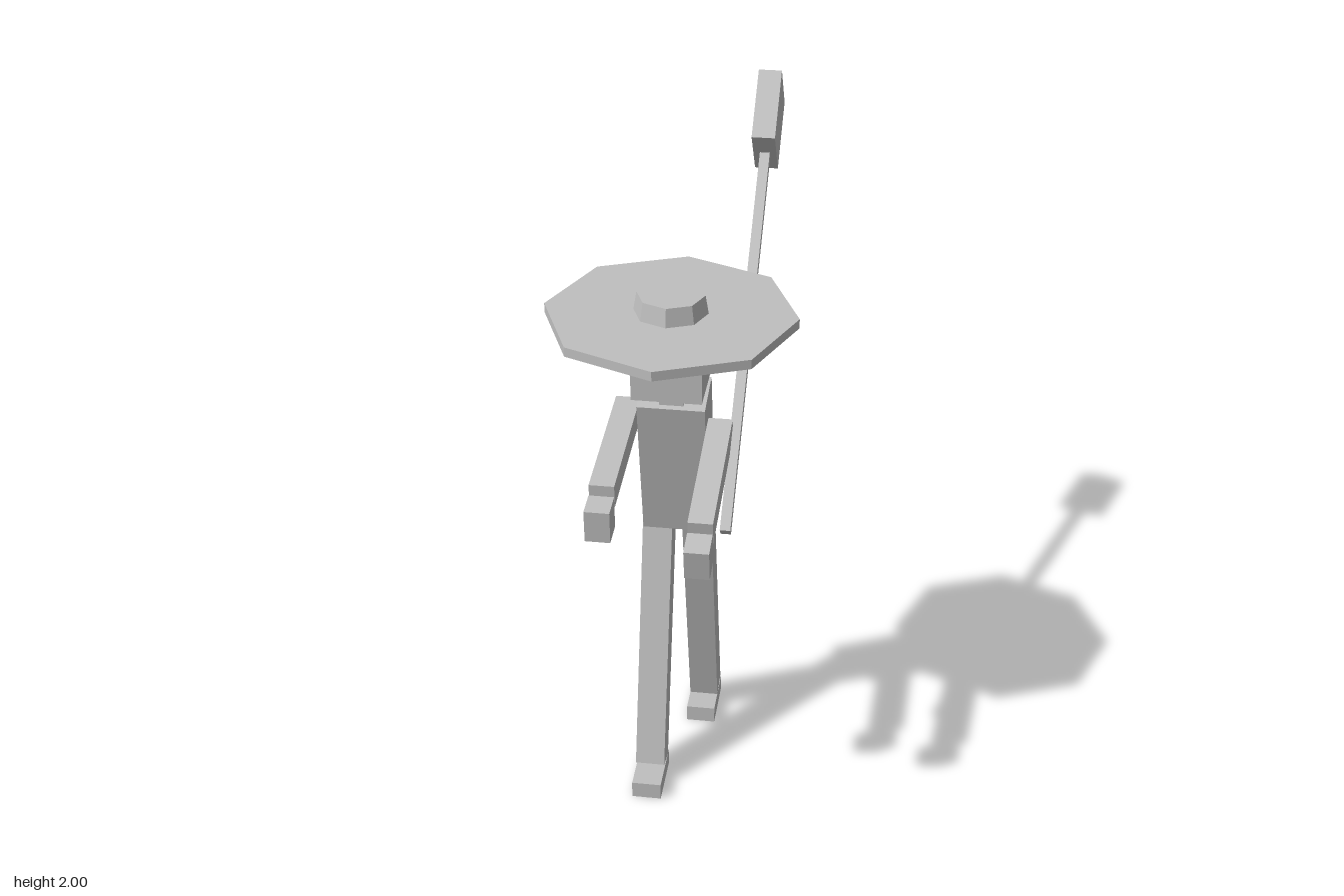
import * as THREE from 'three';

export function createModel() {
  const model = new THREE.Group();
  model.name = 'strawHatWorker';
  const grey = new THREE.MeshStandardMaterial({ color: 0xbfbfbf });
  grey.name = 'plain grey';

  function add(name, geometry, x, y, z, tilt = 0) {
    const mesh = new THREE.Mesh(geometry, grey);
    mesh.name = name;
    mesh.position.set(x, y, z);
    mesh.rotation.x = tilt;
    model.add(mesh);
    return mesh;
  }
  const box = (name, [w, h, d], [x, y, z], tilt) =>
    add(name, new THREE.BoxGeometry(w, h, d), x, y, z, tilt);

  // Eight-sided disc with corners on the x and z axes
  const octagon = (name, rTop, rBottom, y0, y1) => {
    const g = new THREE.CylinderGeometry(rTop, rBottom, y1 - y0, 8).toNonIndexed();
    g.computeVertexNormals();
    return add(name, g, 0, (y0 + y1) / 2, 0.26);
  };

  // Leaning torso, neck and head
  box('torso', [0.196, 0.477, 0.152], [0, 1.087, 0.153], 0.213);
  box('neck', [0.07, 0.09, 0.07], [0, 1.335, 0.226]);
  box('head', [0.2, 0.194, 0.2], [0, 1.47, 0.26]);

  // Hair at the back of the head
  box('hair', [0.206, 0.137, 0.015], [0, 1.498, 0.153]);
  box('hairBump', [0.12, 0.066, 0.012], [0, 1.533, 0.142]);

  // Hat
  octagon('hatBrim', 0.356, 0.356, 1.578, 1.606);
  octagon('hatCrown', 0.096, 0.105, 1.606, 1.66);

  // Arms reaching forward
  box('rightArm', [0.07, 0.067, 0.446], [-0.134, 1.245, 0.421], 0.065);
  box('rightHand', [0.07, 0.097, 0.077], [-0.134, 1.183, 0.685], 0.065);
  box('leftArm', [0.07, 0.07, 0.446], [0.134, 1.17, 0.417], 0.174);
  box('leftHand', [0.07, 0.097, 0.077], [0.134, 1.081, 0.675], 0.2);

  // Striding legs and flat feet: right forward, left back
  for (const [side, x, legZ, tilt, footZ] of [
    ['right', -0.058, 0.212, -0.243, 0.337],
    ['left', 0.058, 0.005, 0.243, -0.063],
  ]) {
    box(side + 'Leg', [0.089, 0.815, 0.082], [x, 0.458, legZ], tilt);
    box(side + 'Foot', [0.089, 0.053, 0.176], [x, 0.0265, footZ]);
  }

  // Long-handled mallet over the left shoulder
  const lean = -0.876;
  box('malletHandle', [0.03, 1.2, 0.032], [0.178, 1.388, -0.032], lean);
  box('malletHead', [0.07, 0.23, 0.19], [0.178, 1.854, -0.572], lean);

  return model;
}
